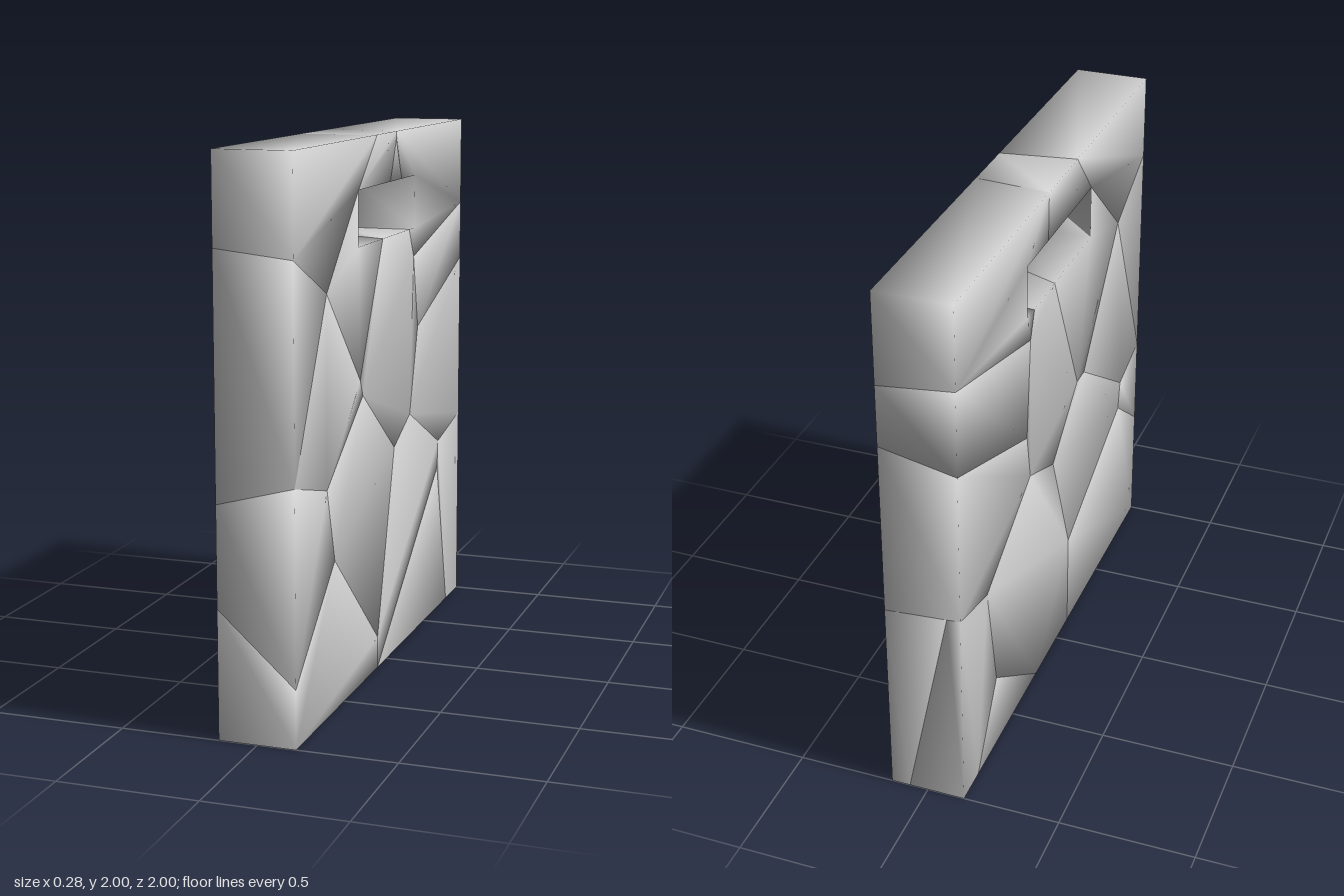
import * as THREE from 'three';
import { mergeVertices } from 'three/addons/utils/BufferGeometryUtils.js';

const HALF = 0.14; // half the slab thickness

// Crack corners: z, y on the +x face, then z, y on the -x face
const corners = {
  A: [1, 1.65, 1, 1.68], B: [0.68, 1.5, 0.68, 1.525], J: [1, 0.9, 1, 0.825],
  C1: [0.32, 1.14, 0.29, 1.07], C2: [0.32, 1.14, 0.21, 1.07],
  E1: [0.29, 1.08, 0.29, 1.07], E2: [0.29, 1.08, 0.21, 1.07],
  F: [-0.09, 0.81, -0.06, 0.86], G: [-0.29, 0.9, -0.31, 0.96],
  H: [-0.39, 1.23, -0.345, 1.14], D: [-0.33, 1.51, -0.31, 1.52],
  I: [0.68, 0.82, 0.77, 0.76], N: [0.6, 0.55, 0.75, 0.65], M: [0.11, 0.12, 0.13, 0.39],
  K: [-0.69, 0.71, -0.75, 0.73], P: [-0.68, 0.6, -0.667, 0.3],
  // slab rim
  L: [1, 0.21, 1, 0.465], R1: [-1, 1.66, -1, 1.69], R2: [-1, 1.43, -1, 1.37], R3: [-1, 0.77, -1, 0.79],
  T1: [0.13, 2, 0.175, 2], T2: [-0.1, 2, -0.125, 2],
  Q1: [0.11, 0, -0.24, 0], Q2: [0.11, 0, 0.13, 0], S: [-0.83, 0, -0.86, 0],
  topFront: [1, 2, 1, 2], topBack: [-1, 2, -1, 2], lowFront: [1, 0, 1, 0], lowBack: [-1, 0, -1, 0],
  // handle slot
  h1: [0.34, 1.82, 0.34, 1.82], h2: [0.34, 1.62, 0.34, 1.62],
  h3: [-0.34, 1.62, -0.34, 1.62], h4: [-0.34, 1.82, -0.34, 1.82],
  hc: [0.06, 1.62, -0.06, 1.62], hd: [-0.27, 1.62, -0.27, 1.62],
  u1: [-0.03, 1.82, -0.13, 1.82], u2: [-0.17, 1.82, -0.13, 1.82], u3: [-0.1, 1.97, -0.13, 1.82],
};

// Shards running through the whole thickness
const shards = {
  topFrontShard: 'A B h1 T1 topFront',
  slotFrontShard: 'B h1 h2 hc C2 C1',
  slotTopShard: 'h1 u1 u3 T2 T1',
  slotWedge: 'u1 u2 u3',
  topBackShard: 'T2 u3 u2 h4 h3 hd D R1 topBack',
  frontEdgeShard: 'A B J',
  frontMiddleShard: 'J B C1 E1 I',
  centreShard: 'hc C2 E2 F G H D hd',
  backUpperShard: 'D R1 R2 H',
  backMiddleShard: 'H R2 R3 K G',
  lowerMiddleShard: 'I E1 E2 F M N',
  lowerBackShard: 'F G K P Q1 Q2 M',
  frontLowerShard: 'J I N L',
  bottomFrontShard: 'L N M Q2 lowFront',
  bottomBackShard: 'Q1 P S',
};

const ring = (names, side) => names.split(' ').map((n) => {
  const c = corners[n];
  return side > 0 ? new THREE.Vector3(HALF, c[1], c[0]) : new THREE.Vector3(-HALF, c[3], c[2]);
});

// Closed shard between two rings of equal length, softly shaded over its edges
function shardGeometry(front, back) {
  const flat = (pts) => pts.map((p) => new THREE.Vector2(-p.z, p.y));
  if (THREE.ShapeUtils.isClockWise(flat(front))) {
    front = [...front].reverse();
    back = [...back].reverse();
  }
  const n = front.length;
  const index = [];
  for (const [a, b, c] of THREE.ShapeUtils.triangulateShape(flat(front), [])) index.push(a, b, c);
  for (const [a, b, c] of THREE.ShapeUtils.triangulateShape(flat(back), [])) index.push(n + a, n + c, n + b);
  for (let i = 0; i < n; i++) {
    const j = (i + 1) % n;
    index.push(i, n + i, j, j, n + i, n + j);
  }
  let geometry = new THREE.BufferGeometry().setFromPoints([...front, ...back]);
  geometry.setIndex(index);
  geometry = mergeVertices(geometry);
  geometry.computeVertexNormals();
  return geometry;
}

export function createModel() {
  const group = new THREE.Group();
  group.name = 'crackedSlab';
  const material = new THREE.MeshStandardMaterial({ color: 0xcccccc });
  const add = (name, front, back) => {
    const mesh = new THREE.Mesh(shardGeometry(front, back), material);
    mesh.name = name;
    group.add(mesh);
  };

  for (const [name, names] of Object.entries(shards)) add(name, ring(names, 1), ring(names, -1));

  // The low back corner is split through its thickness into two shards
  const cornerNames = 'P K R3 lowBack S';
  const split = [
    [0, 0.45, -0.675], [-0.05, 0.72, -0.73], [-0.09, 0.785, -1], [0.07, 0, -1], [0.07, 0, -0.84],
  ].map((p) => new THREE.Vector3(...p));
  add('cornerShardLeft', ring(cornerNames, 1), split);
  add('cornerShardRight', split, ring(cornerNames, -1));

  return group;
}
